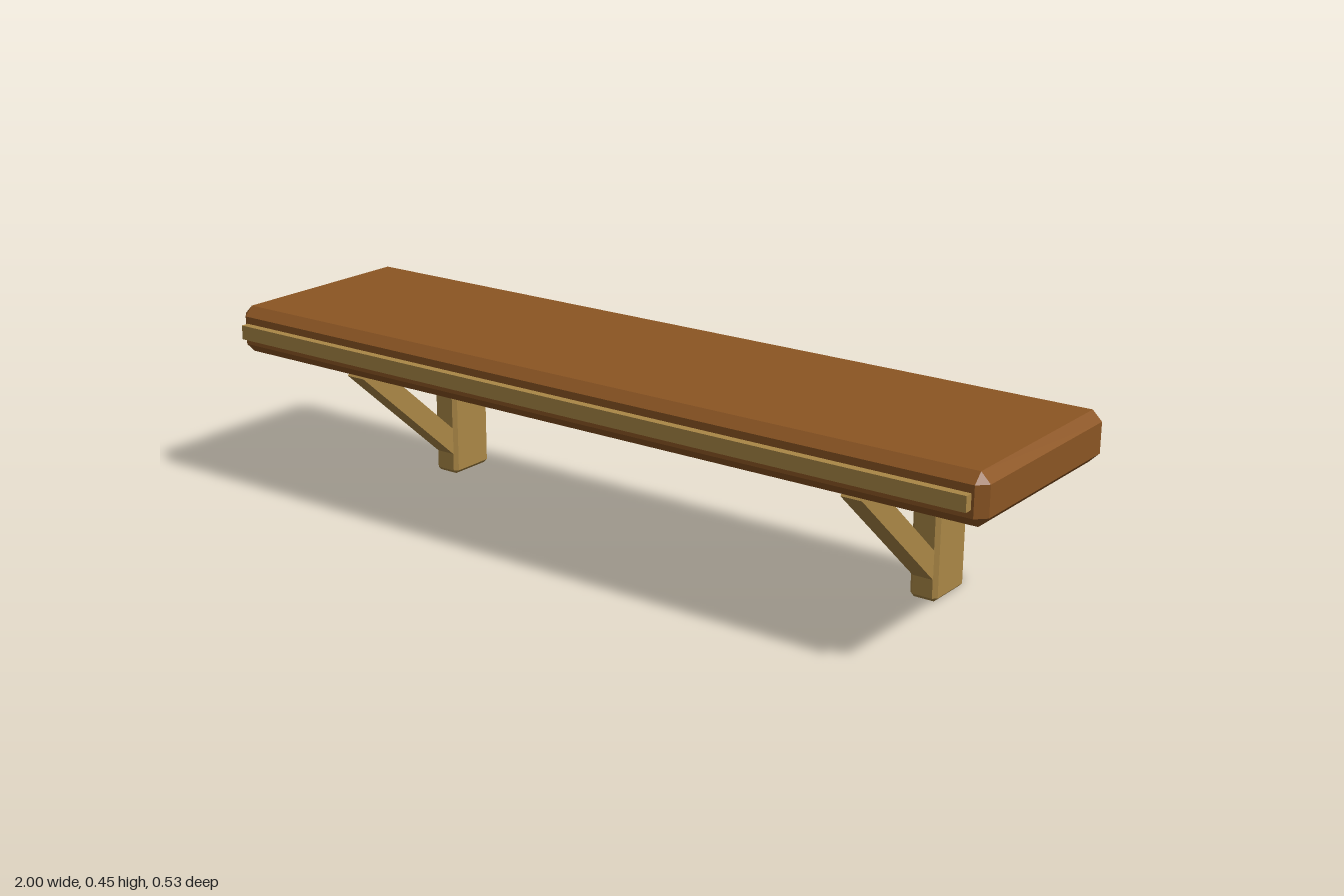
import * as THREE from 'three';
import { ConvexGeometry } from 'three/addons/geometries/ConvexGeometry.js';

// Box with every edge and corner cut by a flat chamfer c
function chamferBox(w, h, d, c) {
  const points = [];
  for (const sx of [-1, 1]) for (const sy of [-1, 1]) for (const sz of [-1, 1]) {
    const x = w / 2, y = h / 2, z = d / 2;
    points.push(
      new THREE.Vector3(sx * x, sy * (y - c), sz * (z - c)),
      new THREE.Vector3(sx * (x - c), sy * y, sz * (z - c)),
      new THREE.Vector3(sx * (x - c), sy * (y - c), sz * z));
  }
  return new ConvexGeometry(points);
}

export function createModel() {
  const model = new THREE.Group();
  model.name = 'wallShelf';
  const darkWood = new THREE.MeshStandardMaterial({ name: 'dark wood', color: 0x8b5523 });
  const lightWood = new THREE.MeshStandardMaterial({ name: 'light wood', color: 0xaa8746 });

  const add = (name, geometry, material, x, y, z, parent = model) => {
    const mesh = new THREE.Mesh(geometry, material);
    mesh.name = name;
    mesh.position.set(x, y, z);
    parent.add(mesh);
    return mesh;
  };

  // Thick board and the strip along its front edge
  add('board', chamferBox(2, 0.112, 0.514, 0.022), darkWood, 0, 0.396, -0.009);
  add('frontTrim', new THREE.BoxGeometry(1.944, 0.034, 0.03), lightWood, 0, 0.396, 0.252);

  // Two brackets: an upright with a diagonal brace
  const tilt = Math.atan2(0.267, 0.303), length = 0.44;
  const post = chamferBox(0.067, 0.36, 0.124, 0.009);
  const strut = new THREE.BoxGeometry(0.05, 0.05, length);
  for (const side of [-1, 1]) {
    const bracket = new THREE.Group();
    bracket.name = side > 0 ? 'leftBracket' : 'rightBracket';
    bracket.position.x = side * 0.677;
    model.add(bracket);
    add('upright', post, lightWood, 0, 0.18, -0.173, bracket);
    const brace = add('brace', strut, lightWood, 0,
      0.339 - Math.sin(tilt) * length / 2, 0.1765 - Math.cos(tilt) * length / 2, bracket);
    brace.rotation.x = -tilt;
  }
  return model;
}
